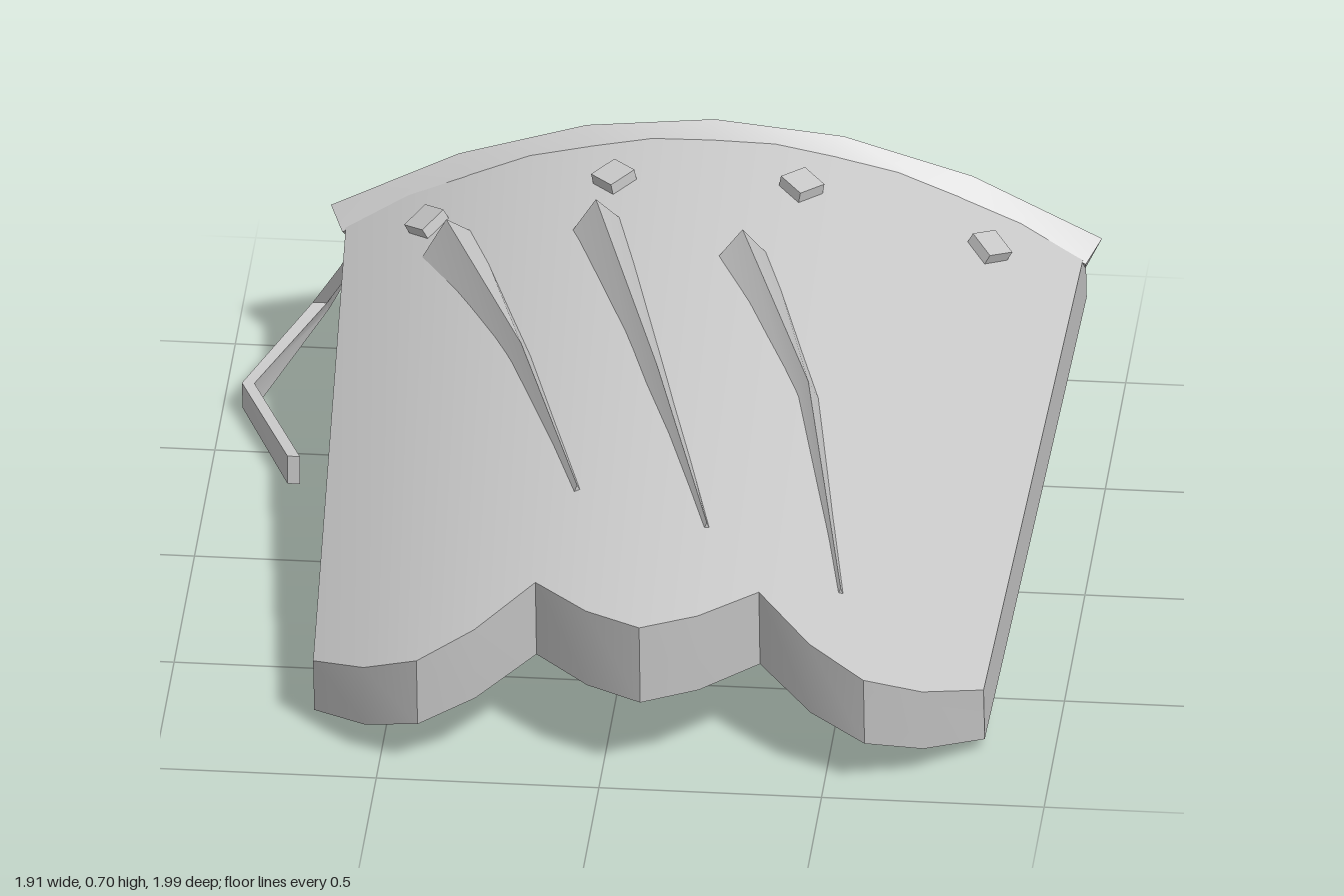
import * as THREE from 'three';
import { toCreasedNormals } from 'three/addons/utils/BufferGeometryUtils.js';

const CX = 0.09; // centre line of the curved plate
const halfWidth = (z) => 0.788 - 0.0494 * z;
const arc = (u, z) => 0.55 - 0.14 * z - 0.275 * u * u;
const surfaceY = (x, z) => arc((x - CX) / halfWidth(z), z);

// Skins a list of equal-length rings and caps both ends
function loft(rings, crease) {
  const n = rings[0].length, pos = [];
  const tri = (a, b, c) => pos.push(...a, ...b, ...c);
  for (let i = 0; i < rings.length - 1; i++) {
    for (let j = 0; j < n; j++) {
      const k = (j + 1) % n, p = rings[i], q = rings[i + 1];
      tri(p[j], p[k], q[k]);
      tri(p[j], q[k], q[j]);
    }
  }
  const first = rings[0], last = rings[rings.length - 1];
  for (let j = 1; j < n - 1; j++) {
    tri(first[0], first[j + 1], first[j]);
    tri(last[0], last[j], last[j + 1]);
  }
  const g = new THREE.BufferGeometry();
  g.setAttribute('position', new THREE.Float32BufferAttribute(pos, 3));
  return toCreasedNormals(g, crease);
}

export function createModel() {
  const model = new THREE.Group();
  model.name = 'armourPlate';
  const steel = new THREE.MeshStandardMaterial({ color: 0xc8c8c8 });
  steel.name = 'steel grey';
  const add = (name, geometry) => {
    const mesh = new THREE.Mesh(geometry, steel);
    mesh.name = name;
    model.add(mesh);
    return mesh;
  };

  // Arched plate with three scallops along the front
  const scallops = [0.77, 0.91, 0.977, 0.93, 0.8, 0.932, 0.997, 0.932, 0.8, 0.93, 0.977, 0.91, 0.77];
  add('plate', loft(scallops.map((zf, i) => {
    const u = -1 + i / 6, zb = -0.86 - 0.03 * u * u;
    const thick = 0.205 - 0.065 * u * u;
    const xf = CX + u * 0.753, xb = CX + u * 0.83;
    return [
      [xf, arc(u, zf), zf],
      [xf, arc(u, zf) - thick, zf - 0.028],
      [xb, arc(u, zb) - thick, zb - 0.028],
      [xb, arc(u, zb), zb],
    ];
  }), 0.5));

  // Raised rim along the back
  const rim = [];
  for (let i = 0; i <= 6; i++) {
    const u = -1 + i / 3, s = u * u;
    rim.push([
      [CX + u * 0.866, 0.705 - 0.285 * s, -0.855 - 0.045 * s],
      [CX + u * 0.835, 0.665 - 0.28 * s, -0.828 - 0.012 * s],
      [CX + u * 0.825, 0.6 - 0.27 * s, -0.895 - 0.02 * s],
      [CX + u * 0.843, 0.65 - 0.28 * s, -0.925 - 0.04 * s],
    ]);
  }
  add('backRim', loft(rim, 0.4));

  // Three tapering ridges: left and right edge at start, bend and tip
  const ridges = [
    [[-0.555, -0.585, -0.425, -0.625], [-0.3, -0.06, -0.245, -0.075], [-0.11, 0.475, -0.085, 0.465]],
    [[-0.21, -0.52, -0.085, -0.552], [0.015, 0.082, 0.075, 0.062], [0.195, 0.605, 0.217, 0.6]],
    [[0.13, -0.4, 0.255, -0.44], [0.355, 0.066, 0.412, 0.043], [0.505, 0.71, 0.528, 0.704]],
  ];
  const rise = [0.06, 0.04, 0.012];
  ridges.forEach((sections) => add('clawRidge', loft(sections.map(([xl, zl, xr, zr], i) => {
    const xm = (xl + xr) / 2, zm = (zl + zr) / 2;
    return [
      [xr, surfaceY(xr, zr) - 0.015, zr],
      [xm, surfaceY(xm, zm) + rise[i], zm],
      [xl, surfaceY(xl, zl) - 0.015, zl],
    ];
  }), 0.3)));

  // Diamond studs lying on the plate
  const up = new THREE.Vector3(0, 1, 0);
  const studShape = new THREE.BoxGeometry(0.07, 0.04, 0.07).rotateY(Math.PI / 4);
  [[-0.54, -0.7], [-0.12, -0.687], [0.3, -0.687], [0.72, -0.697]].forEach(([x, z]) => {
    const w = halfWidth(z), u = (x - CX) / w;
    const stud = add('stud', studShape);
    stud.position.set(x, surfaceY(x, z) + 0.005, z);
    stud.quaternion.setFromUnitVectors(up, new THREE.Vector3(0.55 * u / w, 1, 0.14).normalize());
  });

  // Bent strap hanging from the rear corner: centre, half width in y and z, half thickness
  const strap = [
    [-0.73, 0.28, -0.9, 0.01, 0.03, 0.016],
    [-0.805, 0.125, -0.968, 0.02, 0.022, 0.016],
    [-0.942, 0.04, -0.69, 0.036, 0.008, 0.014],
    [-0.81, 0.036, -0.358, 0.035, 0, 0.014],
  ];
  add('strap', loft(strap.map(([x, y, z, hy, hz, t]) => [
    [x + t, y + hy, z + hz],
    [x - t, y + hy, z + hz],
    [x - t, y - hy, z - hz],
    [x + t, y - hy, z - hz],
  ]), 0.4));

  return model;
}
